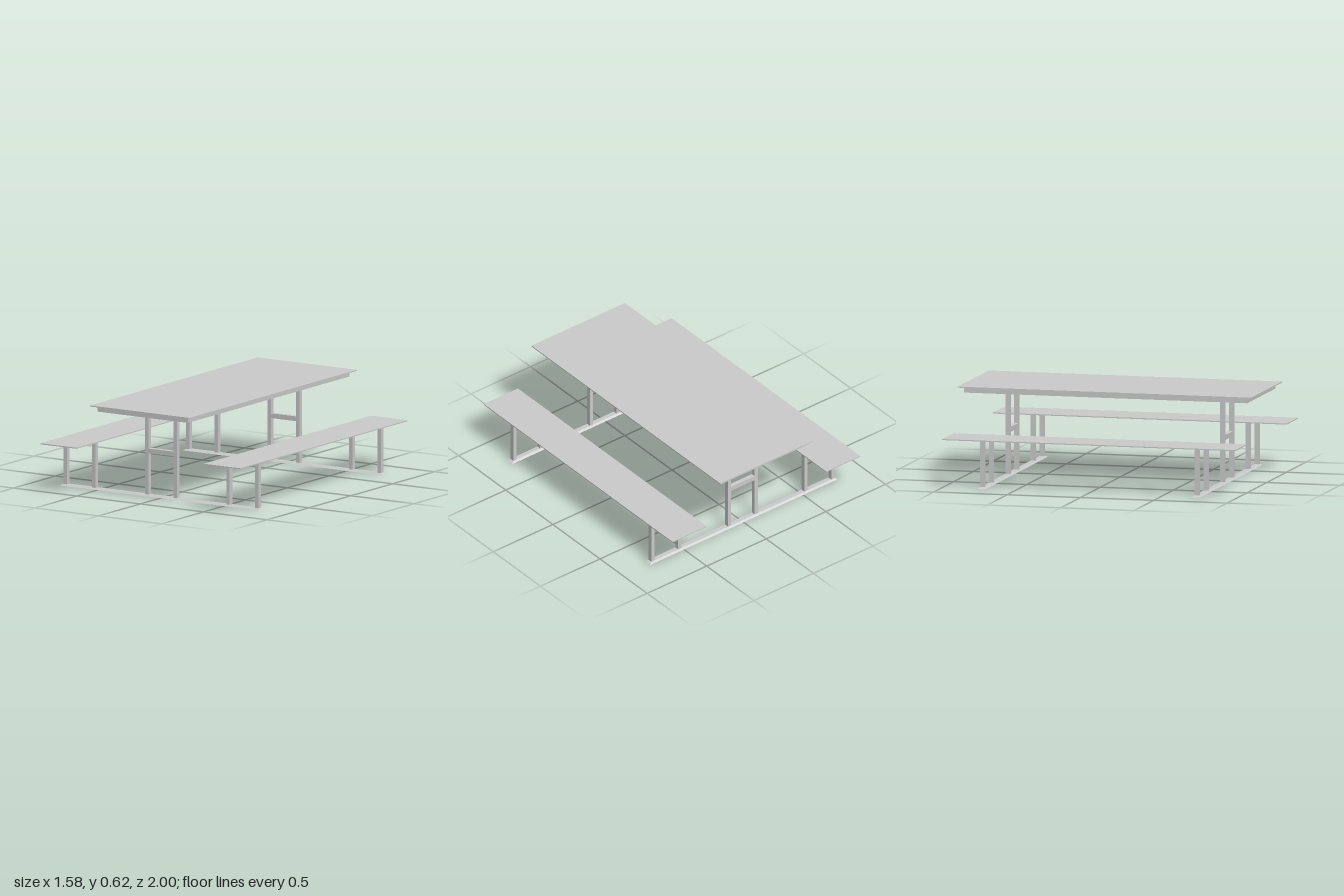
import * as THREE from 'three';

const material = new THREE.MeshStandardMaterial({ color: 0xcccccc, flatShading: true });
const FRAME_X = -0.004; // the steel frame and tabletop sit slightly off centre
const FRAME_Z = 0.732;
const FOOT_TOP = 0.011;
const BENCH_TOP = 0.323;
const TABLE_TOP = 0.618;
const SHEET = 0.007;

// Box given by its centre in x and z and its bottom and top in y
function slab(name, width, depth, bottom, top, x = 0, z = 0) {
  const mesh = new THREE.Mesh(new THREE.BoxGeometry(width, top - bottom, depth), material);
  mesh.position.set(x, (bottom + top) / 2, z);
  mesh.name = name;
  return mesh;
}

// Floor rail: a box whose top face is drawn in on all four sides
function footRail() {
  const rail = slab('footRail', 1.578, 0.055, 0, FOOT_TOP);
  const p = rail.geometry.attributes.position;
  for (let i = 0; i < p.count; i++) {
    if (p.getY(i) < 0) continue;
    p.setX(i, p.getX(i) - Math.sign(p.getX(i)) * 0.02);
    p.setZ(i, p.getZ(i) - Math.sign(p.getZ(i)) * 0.012);
  }
  rail.geometry.computeVertexNormals();
  return rail;
}

// One trestle: floor rail, bench posts, table posts and crossbar
function trestle() {
  const group = new THREE.Group();
  group.name = 'trestle';
  group.add(footRail());
  const postDepth = 0.03, postWidth = 0.026;
  for (const side of [-1, 1]) {
    for (const x of [0.53, 0.755]) {
      group.add(slab('benchLeg', postWidth, postDepth, FOOT_TOP, BENCH_TOP - SHEET, side * x));
    }
    group.add(slab('tableLeg', postWidth, postDepth, FOOT_TOP, 0.575, side * 0.112));
  }
  group.add(slab('crossbar', 0.198, postDepth, 0.288, 0.32));
  return group;
}

export function createModel() {
  const model = new THREE.Group();
  model.name = 'picnicTable';

  // Tabletop sheet and the thick panel under it
  model.add(slab('tabletop', 0.784, 2, TABLE_TOP - SHEET, TABLE_TOP, FRAME_X));
  model.add(slab('tabletopPanel', 0.714, 1.93, 0.575, TABLE_TOP - SHEET, FRAME_X));

  // Bench seats
  for (const side of [-1, 1]) {
    model.add(slab('benchSeat', 0.286, 2, BENCH_TOP - SHEET, BENCH_TOP, side * 0.645));
  }

  // Trestles at both ends
  for (const end of [-1, 1]) {
    const frame = trestle();
    frame.position.set(FRAME_X, 0, end * FRAME_Z);
    model.add(frame);
  }
  return model;
}
